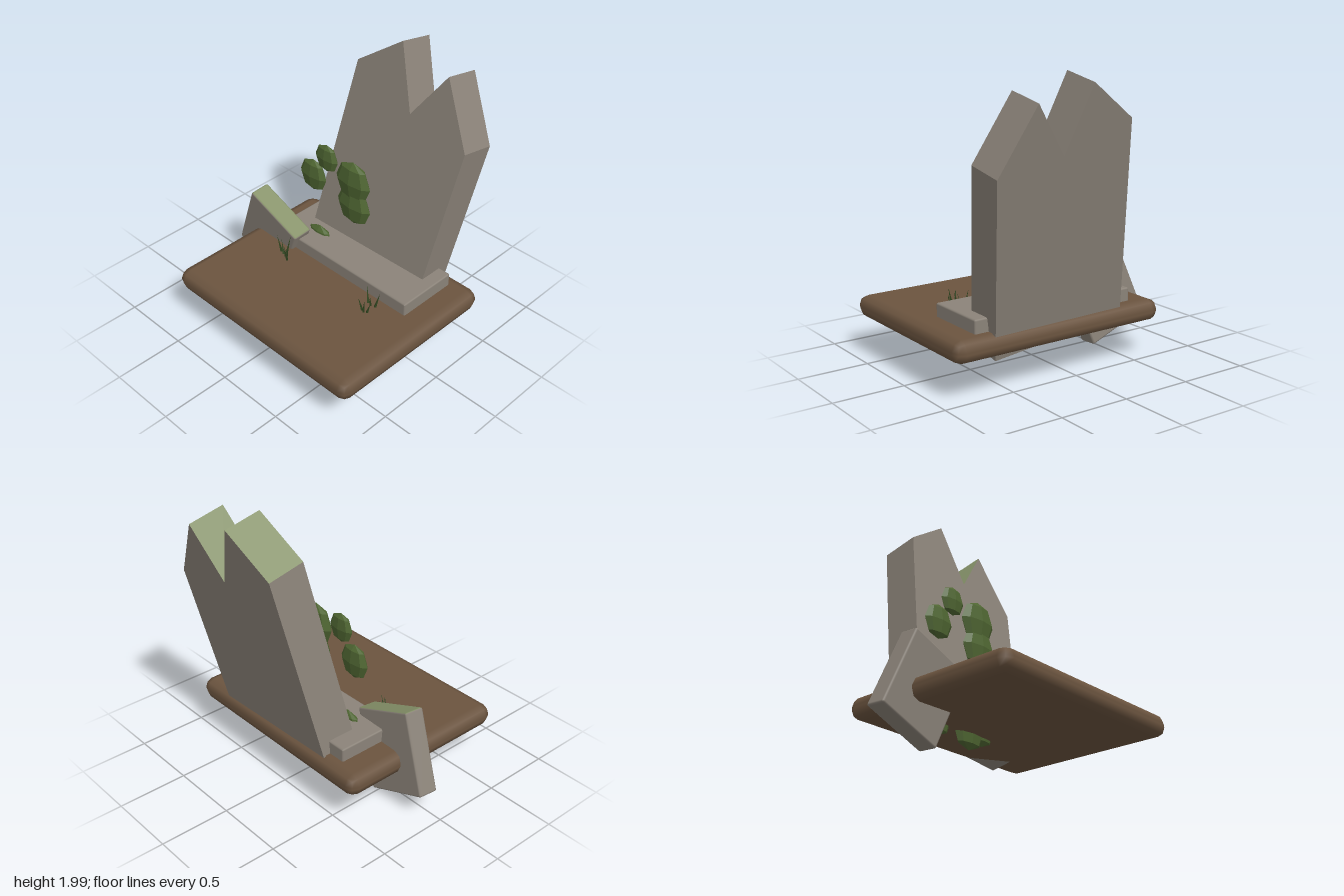
import * as THREE from 'three';
import { RoundedBoxGeometry } from 'three/addons/geometries/RoundedBoxGeometry.js';

const mat = (name, color, flatShading = false) => {
  const m = new THREE.MeshStandardMaterial({ color, flatShading });
  m.name = name;
  return m;
};

export function createModel() {
  const model = new THREE.Group();
  const stone = mat('stone', 0x8b8379);
  const moss = mat('moss', 0x87936a);
  const earth = mat('earth', 0x6b543f);
  const leaf = mat('leaf', 0x4f6632, true);
  const grass = mat('grass', 0x30451f, true);

  const add = (name, geometry, material, x = 0, y = 0, z = 0, parent = model) => {
    const mesh = new THREE.Mesh(geometry, material);
    mesh.name = name;
    mesh.position.set(x, y, z);
    parent.add(mesh);
    return mesh;
  };

  // Earth slab and stone plinth
  add('ground', new RoundedBoxGeometry(1.63, 0.155, 1.32, 1, 0.07), earth, 0.105, 0.33, 0.14);
  add('plinth', new RoundedBoxGeometry(1.24, 0.2, 0.46, 1, 0.012), stone, 0.11, 0.4, -0.19);

  // Broken standing stone, leaning back; each outline edge is one wall quad
  const outline = [[-0.39, 0.395], [0.61, 0.275], [0.755, 1.465], [0.52, 1.9],
    [0.28, 1.56], [0.12, 2.0], [-0.22, 1.76]].map(p => new THREE.Vector2(...p));
  const geo = new THREE.ExtrudeGeometry(new THREE.Shape(outline), { depth: 1, bevelEnabled: false });
  const pos = geo.attributes.position;
  for (let i = 0; i < pos.count; i++) {
    const x = pos.getX(i), y = pos.getY(i), back = 1 - pos.getZ(i);
    pos.setXYZ(i, x - 0.004 * back, y - 0.054 * back, -0.125 - 0.205 * y - 0.02 * x - 0.265 * back);
  }
  geo.computeVertexNormals();
  // Moss grows on the faces that look upwards
  const normals = geo.attributes.normal;
  geo.clearGroups();
  for (let i = 0; i < pos.count; i += 3) {
    geo.addGroup(i, 3, normals.getY(i) > 0.5 && normals.getX(i) < 0 ? 1 : 0);
  }
  add('standingStone', geo, [stone, moss]);

  // Fallen block with a mossy top
  const block = add('leaningBlock', new RoundedBoxGeometry(0.485, 0.575, 0.15, 1, 0.014),
    [stone, stone, moss, stone, stone, stone], -0.59, 0.362, -0.01);
  block.rotation.set(0.09, 0, -0.38, 'ZYX');

  // Flattened leaf clumps: x, y, radius
  const leaves = new THREE.Group();
  leaves.name = 'leafClumps';
  model.add(leaves);
  const clump = new THREE.SphereGeometry(1, 8, 4);
  for (const [x, y, r] of [[-0.17, 1.155, 0.105], [-0.3, 0.96, 0.125], [0.08, 1.08, 0.155],
    [0.09, 0.895, 0.15], [-0.29, 0.295, 0.12], [0, 0.29, 0.143], [0.12, 0.32, 0.12], [-0.24, 0.42, 0.13]]) {
    add('leafClump', clump, leaf, x, y, -0.135, leaves).scale.set(r, r, r * 0.34);
  }

  // Grass tufts of splayed thin blades: x, z of root, lean in x and z, height
  const blade = new THREE.ConeGeometry(0.011, 1, 4).translate(0, 0.5, 0);
  const tufts = [
    [[-0.35, 0.14, -0.2, 0.1, 0.14], [-0.32, 0.15, -0.25, -0.1, 0.12], [-0.31, 0.13, 0.1, -0.2, 0.15],
      [-0.29, 0.16, 0.15, 0.2, 0.12], [-0.27, 0.17, 0.3, 0.1, 0.14], [-0.25, 0.18, 0.1, 0.25, 0.11]],
    [[0.47, 0.11, -0.2, -0.1, 0.13], [0.49, 0.19, -0.15, 0.2, 0.12], [0.5, 0.12, 0.05, 0.15, 0.1],
      [0.51, 0.2, 0.15, 0.1, 0.13], [0.53, 0.11, 0.2, -0.15, 0.13], [0.53, 0.19, 0.25, -0.1, 0.09]],
  ];
  tufts.forEach(blades => {
    const tuft = new THREE.Group();
    tuft.name = 'grassTuft';
    model.add(tuft);
    for (const [x, z, lx, lz, h] of blades) {
      const b = add('grassBlade', blade, grass, x, 0.4, z, tuft);
      b.scale.y = h;
      b.rotation.set(lz, 0, -lx);
    }
  });
  return model;
}
